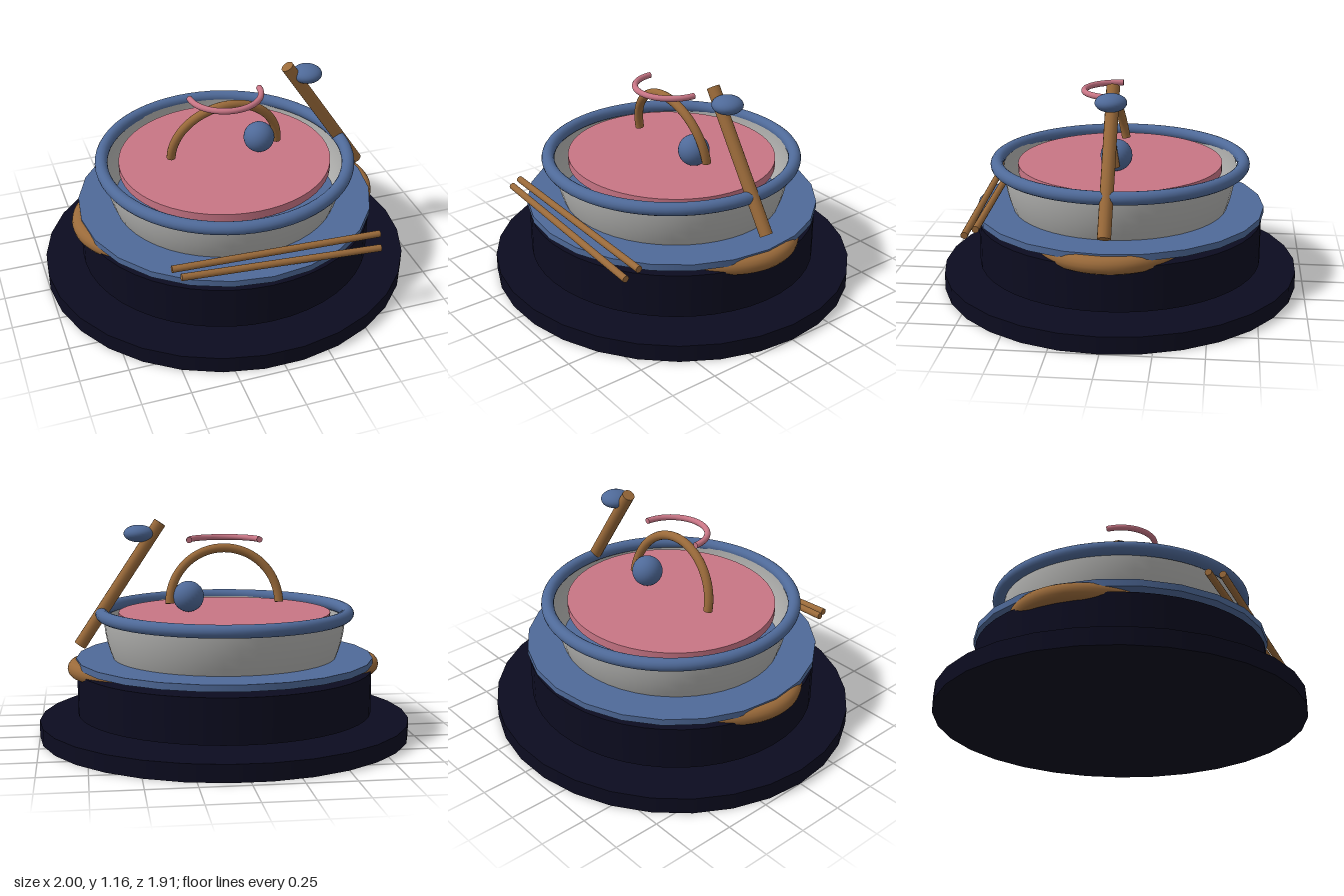
import * as THREE from 'three';

export function createModel() {
  const model = new THREE.Group();
  model.name = 'servingBowl';

  const paint = (name, color, side = THREE.FrontSide) => {
    const m = new THREE.MeshStandardMaterial({ color, side });
    m.name = name;
    return m;
  };
  const navy = paint('navy', 0x0c0c20);
  const blue = paint('blue', 0x4f6a99);
  const wood = paint('wood', 0x9a6a3a);
  const pink = paint('pink', 0xc87585);
  const grey = paint('grey', 0xb2b2b0, THREE.DoubleSide);

  const add = (name, geometry, material, x = 0, y = 0, z = 0) => {
    const mesh = new THREE.Mesh(geometry, material);
    mesh.name = name;
    mesh.position.set(x, y, z);
    model.add(mesh);
    return mesh;
  };

  // Slightly oval disc between two heights
  const disc = (name, rx, rz, y0, y1, sides, material) => {
    const g = new THREE.CylinderGeometry(1, 1, y1 - y0, sides);
    g.rotateY(Math.PI / 2);
    g.scale(rx, 1, rz);
    return add(name, g, material, 0, (y0 + y1) / 2, 0);
  };

  // Straight round rod between two points
  const rod = (name, a, b, radius) => {
    const from = new THREE.Vector3(...a), to = new THREE.Vector3(...b);
    const dir = to.clone().sub(from);
    const mesh = add(name, new THREE.CylinderGeometry(radius, radius, dir.length(), 14), wood);
    mesh.position.copy(from).add(to).multiplyScalar(0.5);
    mesh.quaternion.setFromUnitVectors(new THREE.Vector3(0, 1, 0), dir.normalize());
    return mesh;
  };

  // Half ring in the xy plane with closed ends
  const halfRing = (name, radius, tube, material) => {
    const group = new THREE.Group();
    group.name = name;
    group.add(new THREE.Mesh(new THREE.TorusGeometry(radius, tube, 14, 40, Math.PI), material));
    for (const s of [-1, 1]) {
      const cap = new THREE.Mesh(new THREE.CircleGeometry(tube, 14), material);
      cap.rotation.x = Math.PI / 2;
      cap.position.x = s * radius;
      group.add(cap);
    }
    group.children.forEach((c, i) => { c.name = name + (i ? 'End' : 'Arc'); });
    model.add(group);
    return group;
  };

  // Stand
  disc('base', 1, 0.96, 0, 0.09, 30, navy);
  disc('drum', 0.795, 0.765, 0.125, 0.36, 48, navy);
  disc('collarPlate', 0.8, 0.777, 0.39, 0.425, 24, blue);

  // Bowl, rim and contents
  const shell = new THREE.SphereGeometry(0.65, 48, 20, 0, Math.PI * 2, Math.PI / 2, Math.PI / 2);
  shell.scale(1, 0.98, 0.96);
  add('bowl', shell, grey, 0, 0.66, 0);
  const rim = new THREE.TorusGeometry(0.661, 0.034, 16, 64);
  rim.rotateX(Math.PI / 2);
  add('rim', rim, blue, 0, 0.662, 0);
  disc('soup', 0.57, 0.548, 0.62, 0.665, 56, pink);

  // Side handles, curved flat out of the bowl under the plate
  for (const s of [-1, 1]) {
    const handle = halfRing(s > 0 ? 'leftHandle' : 'rightHandle', 0.38, 0.046, wood);
    handle.position.set(s * 0.42, 0.371, 0);
    handle.rotation.set(Math.PI / 2, 0, -s * Math.PI / 2);
    handle.scale.set(0.92, 1, 1);
  }

  // Arch leaning forward, with a ball beside its foot
  const arch = halfRing('arch', 0.296, 0.024, wood);
  arch.position.set(0, 0.71, -0.005);
  arch.rotation.x = 0.18;
  add('ball', new THREE.SphereGeometry(0.083, 28, 18), blue, 0.195, 0.747, 0);

  // Half ring floating flat over the arch
  const curl = halfRing('curl', 0.19, 0.016, pink);
  curl.position.set(0, 1.048, 0);
  curl.rotation.x = Math.PI / 2;

  // Ladle
  rod('ladleHandle', [0.345, 1.145, 0], [0.777, 0.495, 0], 0.034);
  const scoop = new THREE.SphereGeometry(0.08, 28, 18);
  scoop.scale(1, 0.57, 1);
  add('ladleScoop', scoop, blue, 0.458, 1.087, 0);

  // Chopsticks resting across the front
  rod('innerChopstick', [-0.49, 0.505, 0.662], [0.62, 0.463, 0.662], 0.018);
  rod('outerChopstick', [-0.46, 0.495, 0.725], [0.6, 0.422, 0.725], 0.018);

  return model;
}
